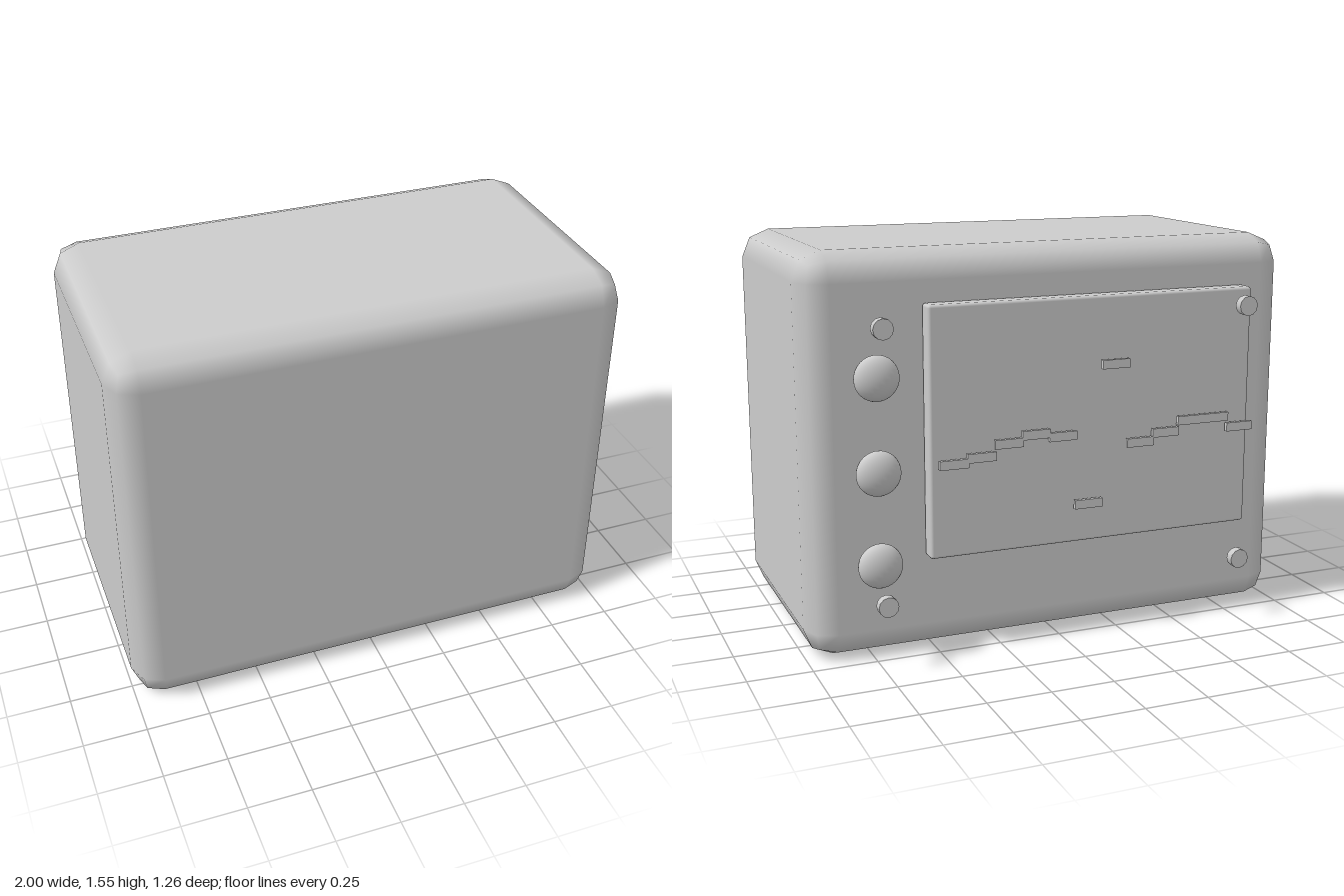
import * as THREE from 'three';
import { RoundedBoxGeometry } from 'three/addons/geometries/RoundedBoxGeometry.js';

export function createModel() {
  const model = new THREE.Group();
  const lightGrey = new THREE.MeshStandardMaterial({ color: 0xcccccc });
  lightGrey.name = 'lightGrey';

  const add = (name, geometry, x, y, z) => {
    const mesh = new THREE.Mesh(geometry, lightGrey);
    mesh.name = name;
    mesh.position.set(x, y, z);
    model.add(mesh);
    return mesh;
  };

  // Rounded cabinet
  add('cabinet', new RoundedBoxGeometry(2, 1.55, 1.095, 1, 0.112), 0, 0.775, 0.08);

  // Screen panel on the back side
  add('screen', new RoundedBoxGeometry(1.35, 0.965, 0.075, 1, 0.012), -0.13, 0.8725, -0.502);

  // Stepped signal trace floating over the screen
  const traceHeights = [0.76, 0.777, 0.82, 0.845, 0.828, 0.55, 1.093, 0.775, 0.805, 0.845, 0.845, 0.8];
  const dash = new THREE.BoxGeometry(0.115, 0.035, 0.016);
  traceHeights.forEach((y, i) => add('traceDash', dash, 0.46 - 0.11 * i, y, -0.565));

  // Column of flattened domed knobs
  const knob = new THREE.SphereGeometry(0.086, 24, 16);
  for (const y of [0.39, 0.745, 1.1]) {
    add('knob', knob, 0.74, y, -0.531).scale.z = 0.55;
  }

  // Four corner screws
  const screw = new THREE.CylinderGeometry(0.039, 0.039, 0.034, 12).rotateX(Math.PI / 2);
  for (const x of [-0.74, 0.74]) {
    for (const y of [0.26, 1.293]) add('screw', screw, x, y, -0.612);
  }

  return model;
}
